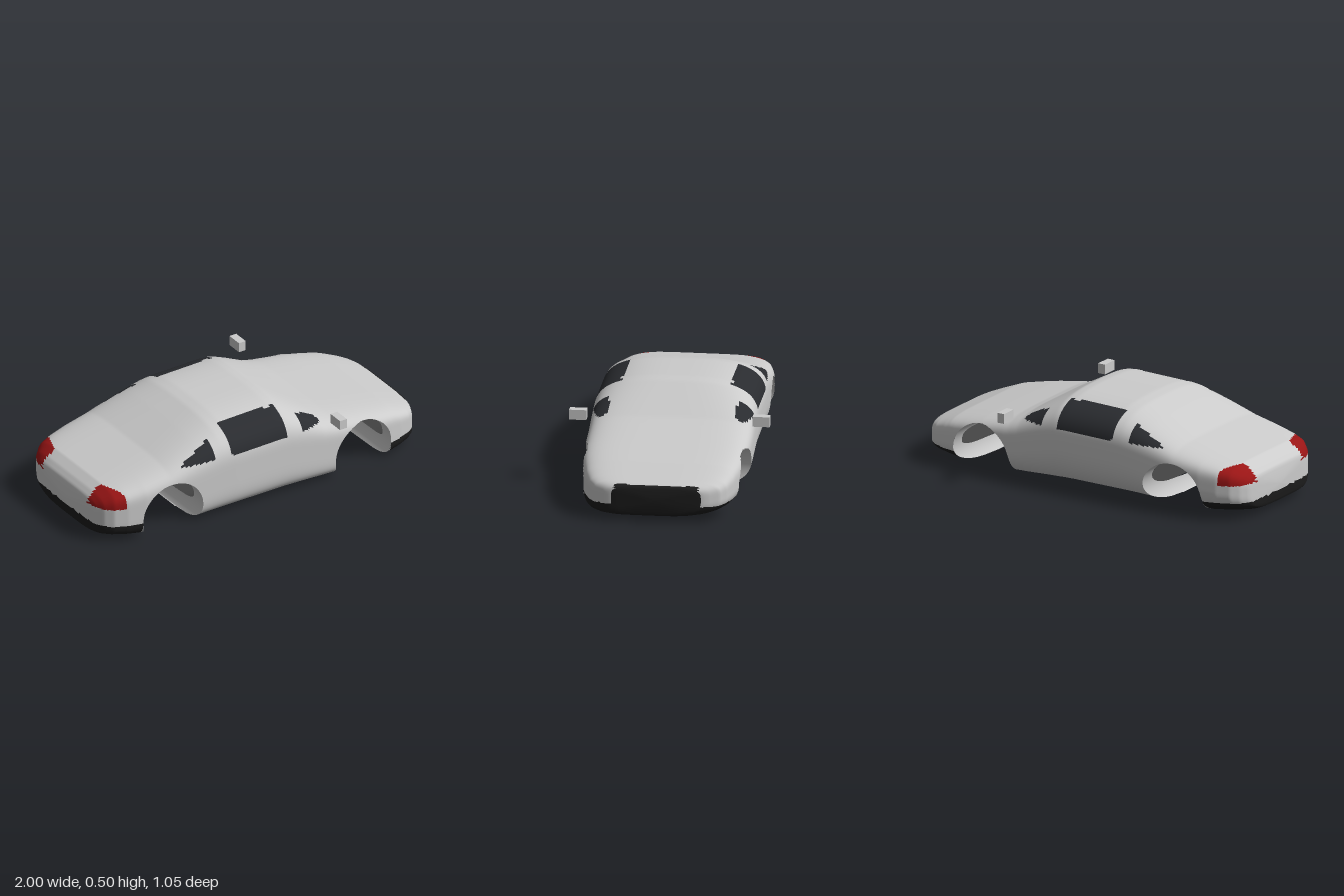
import * as THREE from 'three';

// Piecewise linear profiles along the length: [x, value]
const TOP = [[-1, 0.21], [-0.985, 0.235], [-0.96, 0.26], [-0.91, 0.29], [-0.6, 0.36], [-0.4, 0.44], [-0.28, 0.485],
  [-0.22, 0.495], [0.08, 0.502], [0.13, 0.495], [0.36, 0.365], [0.42, 0.345], [0.6, 0.312], [0.8, 0.27], [0.97, 0.205], [1, 0.185]];
const BOTTOM = [[-1, 0.045], [-0.97, 0.03], [-0.78, 0.004], [-0.6, 0], [0.6, 0], [0.78, 0.004], [0.97, 0.03], [1, 0.05]];
const WIDTH = [[-1, 0.22], [-0.985, 0.28], [-0.96, 0.325], [-0.92, 0.362], [-0.85, 0.39], [-0.75, 0.41], [-0.6, 0.424],
  [-0.2, 0.432], [0.45, 0.432], [0.6, 0.428], [0.7, 0.418], [0.77, 0.406], [0.84, 0.39], [0.91, 0.362], [0.95, 0.33], [0.98, 0.27], [1, 0.2]];
const ARCHES = [-0.59, 0.59], ARCH_Y = 0.1, ARCH_R = 0.18, WALL = 0.08;

function lookup(table, x) {
  if (x <= table[0][0]) return table[0][1];
  for (let i = 1; i < table.length; i++) {
    const [x0, v0] = table[i - 1], [x1, v1] = table[i];
    if (x <= x1) return v0 + (v1 - v0) * (x - x0) / (x1 - x0);
  }
  return table[table.length - 1][1];
}

// Cross-section at x, shrunk by d for the inside of the shell; low decks have squarer shoulders than the cabin
function section(x, d) {
  const roof = lookup(TOP, x), top = roof - d, bottom = lookup(BOTTOM, x) + d;
  const mid = bottom + 0.54 * (top - bottom);
  return { w: lookup(WIDTH, x) - d, mid, up: top - mid, down: mid - bottom, shoulder: Math.min(5, 3 + (0.5 - roof) * 10) };
}

// Exponent of the rounded section: the underside is rounder on one side
const exponent = (s, upper, side) => (upper ? s.shoulder : side > 0 ? 6 : 2.8);

function halfWidth(x, y, side, d) {
  const s = section(x, d), upper = y > s.mid, t = Math.abs(y - s.mid) / (upper ? s.up : s.down);
  const n = exponent(s, upper, side);
  return t >= 1 ? 0 : s.w * Math.pow(1 - Math.pow(t, n), 1 / n);
}

// Loft the shell, cut the wheel arches and sort the faces into painted parts
function shellParts(d, partAt) {
  const around = 160, along = 200, stations = [], end = 0.99 - d;
  const caps = [0.001, 0.2, 0.4, 0.6, 0.75, 0.88];
  caps.forEach(s => stations.push([-(end + 0.01 * (1 - s * s)), s]));
  for (let i = 0; i <= along; i++) {
    const u = i / along * 2 - 1;
    stations.push([end * (0.55 * u + 0.45 * Math.sin(u * Math.PI / 2)), 1]);
  }
  [...caps].reverse().forEach(s => stations.push([end + 0.01 * (1 - s * s), s]));

  const pos = [], index = [];
  stations.forEach(([x, scale], i) => {
    const s = section(x, d);
    for (let j = 0; j < around; j++) {
      const a = j / around * Math.PI * 2, c = Math.cos(a), h = Math.sin(a);
      const n = exponent(s, h > 0, c);
      const r = scale * Math.pow(Math.abs(c) ** n + Math.abs(h) ** n, -1 / n);
      pos.push(x, s.mid + (h > 0 ? s.up : s.down) * h * r, s.w * c * r);
      if (i === stations.length - 1) continue;
      const k = (j + 1) % around, p = i * around, q = p + around;
      index.push(p + j, q + j, q + k, p + j, q + k, p + k);
    }
  });
  const full = new THREE.BufferGeometry();
  full.setAttribute('position', new THREE.Float32BufferAttribute(pos, 3));
  full.setIndex(index);
  full.computeVertexNormals();

  // Drop faces inside an arch and pull the edge vertices onto its circle
  const inside = [];
  for (let v = 0; v < pos.length / 3; v++) {
    const x = pos[v * 3], y = pos[v * 3 + 1], cx = ARCHES[x > 0 ? 1 : 0];
    const dx = x - cx, dy = y - ARCH_Y, r = Math.hypot(dx, dy);
    inside[v] = r < ARCH_R;
    if (!inside[v]) continue;
    if (dy < 0) pos[v * 3] = cx + Math.sign(dx || 1) * Math.sqrt(ARCH_R ** 2 - dy ** 2);
    else {
      pos[v * 3] = cx + dx / (r || 1) * ARCH_R;
      pos[v * 3 + 1] = ARCH_Y + dy / (r || 1) * ARCH_R;
    }
  }
  full.setAttribute('position', new THREE.Float32BufferAttribute(pos, 3));
  const faces = {};
  for (let f = 0; f < index.length; f += 6) {
    const corners = [index[f], index[f + 1], index[f + 2], index[f + 5]];
    const mean = k => corners.reduce((sum, v) => sum + pos[v * 3 + k] / 4, 0);
    const name = partAt(mean(0), mean(1), mean(2));
    for (const t of [index.slice(f, f + 3), index.slice(f + 3, f + 6)]) {
      if (!t.every(v => inside[v])) (faces[name] ||= []).push(...t);
    }
  }
  return Object.entries(faces).map(([name, list]) => {
    const g = new THREE.BufferGeometry();
    g.setAttribute('position', full.attributes.position);
    g.setAttribute('normal', full.attributes.normal);
    g.setIndex(list);
    return [name, g.toNonIndexed()];
  });
}

// Which painted part a point of the outer shell belongs to
function paintAt(x, y, z) {
  const side = Math.abs(z);
  if (y < (x > 0.77 ? 0.092 : x < -0.77 ? 0.1 : 0.03)) return 'lowerTrim';
  if (x > 0.955 && side < 0.22 && y < 0.2) return 'grille';
  if (x > 0.85 && x < 0.905 && side > 0.18 && side < 0.345 && y > 0.215) return 'headlights';
  if (x < -0.86 - Math.max(0, 0.36 - side) * 0.4 && side > 0.215 && y > 0.2 && y < 0.29) return 'tailLights';
  if (y > 0.345) {
    if (side > 0.28 && x > -0.23 && x < 0.11 && y < 0.475) return 'sideWindows';
    if (side > 0.335 && x > 0.21 && x < 0.34 && y < 0.435 - (x - 0.21) * 0.6) return 'frontQuarterWindows';
    if (side > 0.335 && x > -0.525 && x < -0.335 && y < 0.43 + (x + 0.335) * 0.42) return 'rearQuarterWindows';
  }
  return 'body';
}

// Cut faces of the shell around one arch, on one side
function archWall(cx, side) {
  const pos = [], index = [], steps = 128;
  for (let i = 0; i <= steps; i++) {
    const a = -0.62 + (Math.PI + 1.24) * i / steps;
    const x = cx + Math.cos(a) * ARCH_R, y = Math.max(ARCH_Y + Math.sin(a) * ARCH_R, 0.0005);
    const outer = halfWidth(x, y, side, 0), inner = Math.min(outer, halfWidth(x, y, side, WALL));
    pos.push(x, y, side * outer, x, y, side * inner);
    if (i < steps) {
      const p = i * 2;
      if (side > 0) index.push(p, p + 1, p + 2, p + 1, p + 3, p + 2);
      else index.push(p, p + 2, p + 1, p + 1, p + 2, p + 3);
    }
  }
  const g = new THREE.BufferGeometry();
  g.setAttribute('position', new THREE.Float32BufferAttribute(pos, 3));
  g.setIndex(index);
  g.computeVertexNormals();
  return g;
}

export function createModel() {
  const model = new THREE.Group();
  const add = (name, geometry, color = 0xcccccc, side = THREE.FrontSide) => {
    const mesh = new THREE.Mesh(geometry, new THREE.MeshStandardMaterial({ color, side }));
    mesh.name = name;
    model.add(mesh);
    return mesh;
  };
  const colors = { body: 0xcccccc, lowerTrim: 0x1c1c1c, grille: 0x1c1c1c, headlights: 0xe4e4e4, tailLights: 0x991515,
    sideWindows: 0x2a2c30, frontQuarterWindows: 0x2a2c30, rearQuarterWindows: 0x2a2c30 };

  // Painted outer shell and dark inside
  shellParts(0, paintAt).forEach(([name, g]) => add(name, g, colors[name]));
  shellParts(WALL, () => 'innerShell').forEach(([name, g]) => add(name, g, 0x444444, THREE.DoubleSide));

  for (const side of [1, -1]) {
    const label = side > 0 ? 'Left' : 'Right';
    // Wheel arch edges
    ARCHES.forEach(cx => add((cx > 0 ? 'noseArch' : 'tailArch') + label, archWall(cx, side), 0xcccccc, THREE.DoubleSide));
    // Free-standing door mirrors
    add('doorMirror' + label, new THREE.BoxGeometry(0.042, 0.054, 0.09)).position.set(0.395, 0.378, side * 0.48);
  }
  return model;
}
